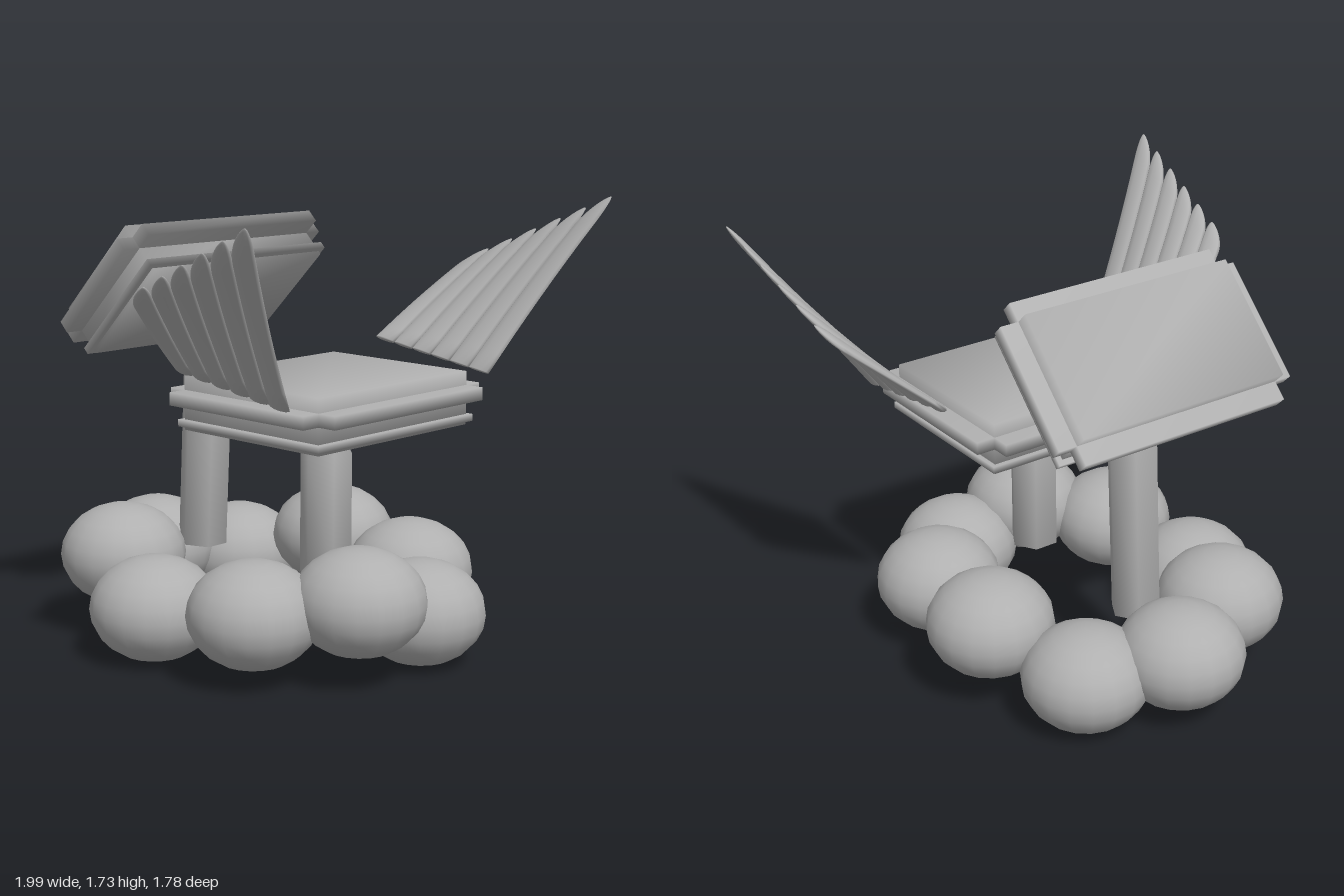
import * as THREE from 'three';
import { mergeVertices } from 'three/addons/utils/BufferGeometryUtils.js';

const grey = new THREE.MeshStandardMaterial({ color: 0xb0b0b0 });
grey.name = 'plain grey';

function addMesh(parent, name, geometry, x = 0, y = 0, z = 0) {
  const mesh = new THREE.Mesh(geometry, grey);
  mesh.name = name;
  mesh.position.set(x, y, z);
  parent.add(mesh);
  return mesh;
}

// Box with shared corners, so its shading rolls softly over the edges
function softBox(w, h, d) {
  const box = new THREE.BoxGeometry(w, h, d);
  box.deleteAttribute('normal');
  box.deleteAttribute('uv');
  const merged = mergeVertices(box);
  merged.computeVertexNormals();
  return merged;
}

// Cushion: main slab, a cross-shaped rim around it and a thin lip below
function cushion(name, w, h, d, rim, lip) {
  const group = new THREE.Group();
  group.name = name;
  addMesh(group, 'slab', softBox(w, h, d), 0, h / 2);
  addMesh(group, 'rimAcross', softBox(w + 2 * rim, h * 0.24, d), 0, h * 0.62);
  addMesh(group, 'rimAlong', softBox(w, h * 0.24, d + 2 * rim), 0, h * 0.62);
  addMesh(group, 'lip', softBox(w + 2 * lip, h * 0.13, d + 2 * lip), 0, h * 0.13);
  return group;
}

// Six-sided post ending in a point
function post(parent, name, shoulder, tip, y, z) {
  const profile = [[0, 0], [0.1, 0], [0.1, shoulder], [0, tip]].map(p => new THREE.Vector2(...p));
  return addMesh(parent, name, new THREE.LatheGeometry(profile, 6, Math.PI / 6), 0, y, z);
}

// Corner points of the wing: root line and tip line, front to back
const rootFront = new THREE.Vector3(0.55, 1.075, 0.645);
const rootBack = new THREE.Vector3(0.55, 1.16, 0.075);
const tipFront = new THREE.Vector3(0.995, 1.75, 0.9);
const tipBack = new THREE.Vector3(0.925, 1.47, 0.25);

function wingPoint(u, s) {
  const p = rootFront.clone().lerp(rootBack, u);
  p.lerp(tipFront.clone().lerp(tipBack, u), s);
  p.z -= 0.05 * s * (1 - s);
  return p;
}

// One feather: flat ellipses lofted from root to a rounded tip
function feather(index, count, side) {
  const rings = 16, sides = 10, positions = [], indices = [];
  const half = 0.5 / count;
  const quad = (a, b, c) => indices.push(...(side > 0 ? [a, b, c] : [a, c, b]));
  for (let i = 0; i <= rings; i++) {
    const t = i / rings;
    const s = t < 0.5 ? t * 1.7 : 0.85 + 0.15 * Math.sin((t - 0.5) * Math.PI);
    const taper = s > 0.85 ? Math.sqrt(Math.max(0, 1 - ((s - 0.85) / 0.15) ** 2)) : 1;
    const u = (index + 0.5) / count - half * 0.5 * (1 - taper);
    const center = wingPoint(u, s);
    const across = wingPoint(u + half, s).sub(center).multiplyScalar(taper * 1.04);
    const along = wingPoint(u, s + 0.01).sub(center);
    const widthDir = wingPoint(u + half, s).sub(center);
    const normal = widthDir.cross(along).normalize().multiplyScalar(0.014 * taper);
    for (let j = 0; j < sides; j++) {
      const a = (j / sides) * Math.PI * 2;
      const p = center.clone().addScaledVector(across, Math.cos(a)).addScaledVector(normal, Math.sin(a));
      positions.push(p.x * side, p.y, p.z);
      if (i < rings) {
        const k = (j + 1) % sides, r0 = i * sides, r1 = r0 + sides;
        quad(r0 + j, r1 + j, r0 + k);
        quad(r1 + j, r1 + k, r0 + k);
      }
    }
  }
  // Root cap
  for (let j = 1; j < sides - 1; j++) quad(0, j, j + 1);
  const geometry = new THREE.BufferGeometry();
  geometry.setAttribute('position', new THREE.Float32BufferAttribute(positions, 3));
  geometry.setIndex(indices);
  geometry.computeVertexNormals();
  return geometry;
}

export function createModel() {
  const model = new THREE.Group();
  model.name = 'wingedCloudSeat';

  // Ring of nine squashed puffs
  const cloud = new THREE.Group();
  cloud.name = 'cloudBase';
  const puffs = [
    [0.17, 0.21, 0.64], [0.44, 0.27, 0.36], [0.5, 0.32, -0.11],
    [0.325, 0.21, -0.49], [0, 0.27, -0.65], [-0.325, 0.32, -0.49],
    [-0.5, 0.21, -0.11], [-0.44, 0.27, 0.36], [-0.175, 0.32, 0.64],
  ];
  const puff = new THREE.SphereGeometry(0.25, 18, 12);
  puff.scale(1, 0.81, 1);
  puffs.forEach((p, i) => addMesh(cloud, `puff${i + 1}`, puff, ...p));
  model.add(cloud);

  // Posts under the seat and behind the backrest
  post(model, 'seatPost', 0.47, 0.69, 0.33, 0.31);
  post(model, 'backPost', 0.71, 0.93, 0.33, -0.373).rotation.x = 0.052;

  // Seat and tilted backrest
  const seat = cushion('seat', 0.82, 0.205, 0.68, 0.077, 0.018);
  seat.position.set(0, 0.897, 0.31);
  const backrest = cushion('backrest', 0.905, 0.226, 0.487, 0.075, 0.02);
  backrest.position.set(0, 1.313, -0.317);
  backrest.rotation.x = -Math.PI / 4;
  model.add(seat, backrest);

  // Mirrored feathered wings
  for (const [name, side] of [['leftWing', 1], ['rightWing', -1]]) {
    const wing = new THREE.Group();
    wing.name = name;
    for (let i = 0; i < 6; i++) addMesh(wing, `feather${i + 1}`, feather(i, 6, side));
    model.add(wing);
  }
  return model;
}
